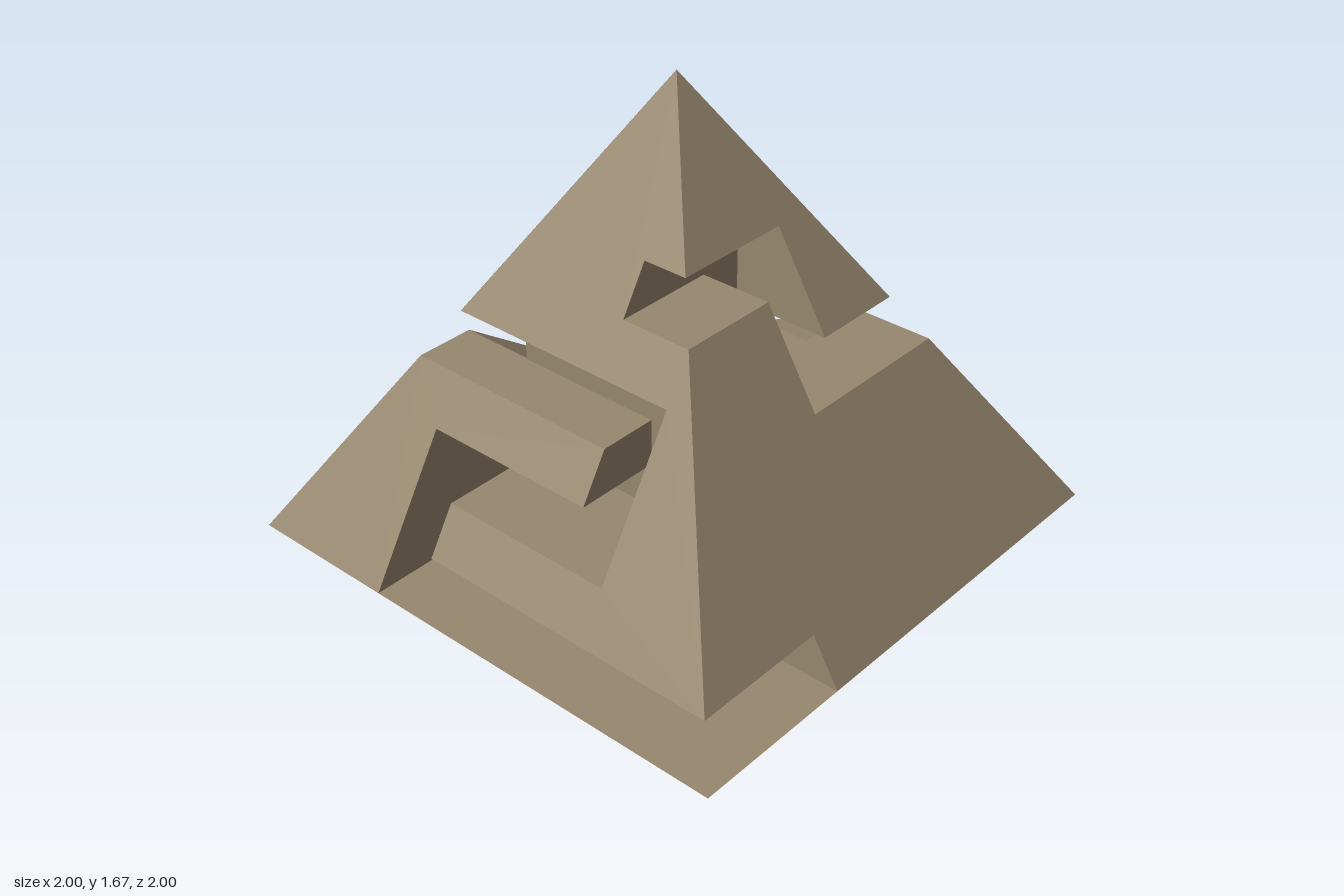
import * as THREE from 'three';

const H = 5 / 3;
const APEX = [0, H];
// distance of the sloped skin from the axis at height y
const slope = (y) => 1 - y / H;

// each side maps (u along the side, height, distance outward) to space
const sides = {
  front: { depth: 0.133, flip: false, at: (u, y, d) => [u, y, d] },
  back: { depth: 0.32, flip: true, at: (u, y, d) => [u, y, -d] },
  right: { depth: 0.317, flip: false, at: (u, y, d) => [-d, y, u] },
  left: { depth: 0.385, flip: true, at: (u, y, d) => [d, y, u] },
};
// the model's own left is +x
sides.right.depth = 0.385;
sides.left.depth = 0.317;

// flat panel from an outline of [u, y] points
function panel(side, outline, dist) {
  const geo = new THREE.ShapeGeometry(new THREE.Shape(outline.map((p) => new THREE.Vector2(...p))));
  const pos = geo.attributes.position;
  for (let i = 0; i < pos.count; i++) {
    const u = pos.getX(i), y = pos.getY(i);
    pos.setXYZ(i, ...side.at(u, y, dist(y)));
  }
  if (side.flip) geo.index.array.reverse();
  geo.computeVertexNormals();
  return geo;
}

// floors, ceilings and end walls: strip from the core out to the skin along a path
function ledge(side, path) {
  const verts = [];
  for (let i = 0; i + 1 < path.length; i++) {
    const [a, b] = [path[i], path[i + 1]];
    const a0 = side.at(a[0], a[1], side.depth), a1 = side.at(a[0], a[1], slope(a[1]));
    const b0 = side.at(b[0], b[1], side.depth), b1 = side.at(b[0], b[1], slope(b[1]));
    verts.push(...a0, ...a1, ...b1, ...a0, ...b1, ...b0);
  }
  const geo = new THREE.BufferGeometry();
  geo.setAttribute('position', new THREE.Float32BufferAttribute(verts, 3));
  geo.computeVertexNormals();
  return geo;
}

// edges of the winding channel on each side
const frontLow = [[-0.4, 1], [-0.02, 1], [-0.02, 0.667]];
const frontHigh = [[-0.3, 1.167], [0.15, 1.167], [0.15, 0.833], [0.5, 0.833]];
const leftLow = [[0.6, 0.667], [0.3, 0.667], [-0.32, 0.267]];
const leftHigh = [[0.133, 0.833], [-0.5, 0.433], [-0.74, 0.433]];
const backLow = [[-0.6, 0.667], [-0.38, 0.667], [0.12, 0.28], [0.84, 0.267]];
const backHigh = [[-0.385, 0.833], [-0.3, 0.817], [0.18, 0.433]];
const rightLow = [[0.233, 0.667], [0.233, 0.5], [-0.43, 0.5], [-0.43, 0]];
const rightHigh = [[0.4, 0.833], [0.4, 0.333], [-0.267, 0.333], [-0.267, 0.167], [0.9, 0.167]];

const parts = {
  front: {
    skins: [
      [APEX, ...frontHigh],
      [...frontLow, [0.6, 0.667], [1, 0], [-0.385, 0], [-0.385, 0.167], [-0.9, 0.167]],
    ],
    ledges: [[...frontLow, [0.317, 0.667]], frontHigh],
    wall: [...frontLow, [0.317, 0.667], [0.317, 0.833], [0.15, 0.833], [0.15, 1.167], [-0.3, 1.167]],
  },
  left: {
    skins: [
      [APEX, [0.5, 0.833], ...leftHigh],
      [...leftLow, [-0.84, 0.267], [-1, 0], [1, 0]],
    ],
    ledges: [leftLow, leftHigh],
    wall: [[0.133, 0.667], [0.3, 0.667], [-0.32, 0.267], [-0.32, 0.545], [0.133, 0.833]],
  },
  back: {
    skins: [
      [APEX, [-0.5, 0.833], ...backHigh, [0.74, 0.433]],
      [[-1, 0], ...backLow, [1, 0]],
    ],
    ledges: [backLow, [...backHigh, [0.317, 0.433]]],
    wall: [[-0.385, 0.667], ...backLow.slice(1, 3), [0.317, 0.276], [0.317, 0.433], [0.18, 0.433], [-0.3, 0.817], [-0.385, 0.833]],
  },
  right: {
    skins: [
      [APEX, [-0.5, 0.833], ...rightHigh, [0.4, 1], [0.133, 1], [0.133, 1.167], [0.3, 1.167]],
      [[-1, 0], [-0.6, 0.667], ...rightLow],
    ],
    ledges: [[[-0.6, 0.667], ...rightLow, [1, 0]], [[-0.5, 0.833], ...rightHigh]],
    wall: [[-0.32, 0.667], ...rightLow, [1, 0], ...[...rightHigh].reverse(), [-0.32, 0.833]],
  },
};

export function createModel() {
  const model = new THREE.Group();
  model.name = 'carvedPyramid';
  const stone = new THREE.MeshStandardMaterial({ color: 0x97876e, side: THREE.DoubleSide });
  stone.name = 'sandstone';

  for (const [name, { skins, ledges, wall }] of Object.entries(parts)) {
    const side = sides[name];
    const group = new THREE.Group();
    group.name = name + 'Side';
    const add = (geo, label) => {
      const mesh = new THREE.Mesh(geo, stone);
      mesh.name = label;
      group.add(mesh);
    };
    // sloped outer faces above and below the channel
    add(panel(side, skins[0], slope), name + 'UpperFace');
    add(panel(side, skins[1], slope), name + 'LowerFace');
    // channel surfaces
    add(ledge(side, ledges[0]), name + 'ChannelFloor');
    add(ledge(side, ledges[1]), name + 'ChannelCeiling');
    add(panel(side, wall, () => side.depth), name + 'ChannelWall');
    model.add(group);
  }
  return model;
}
